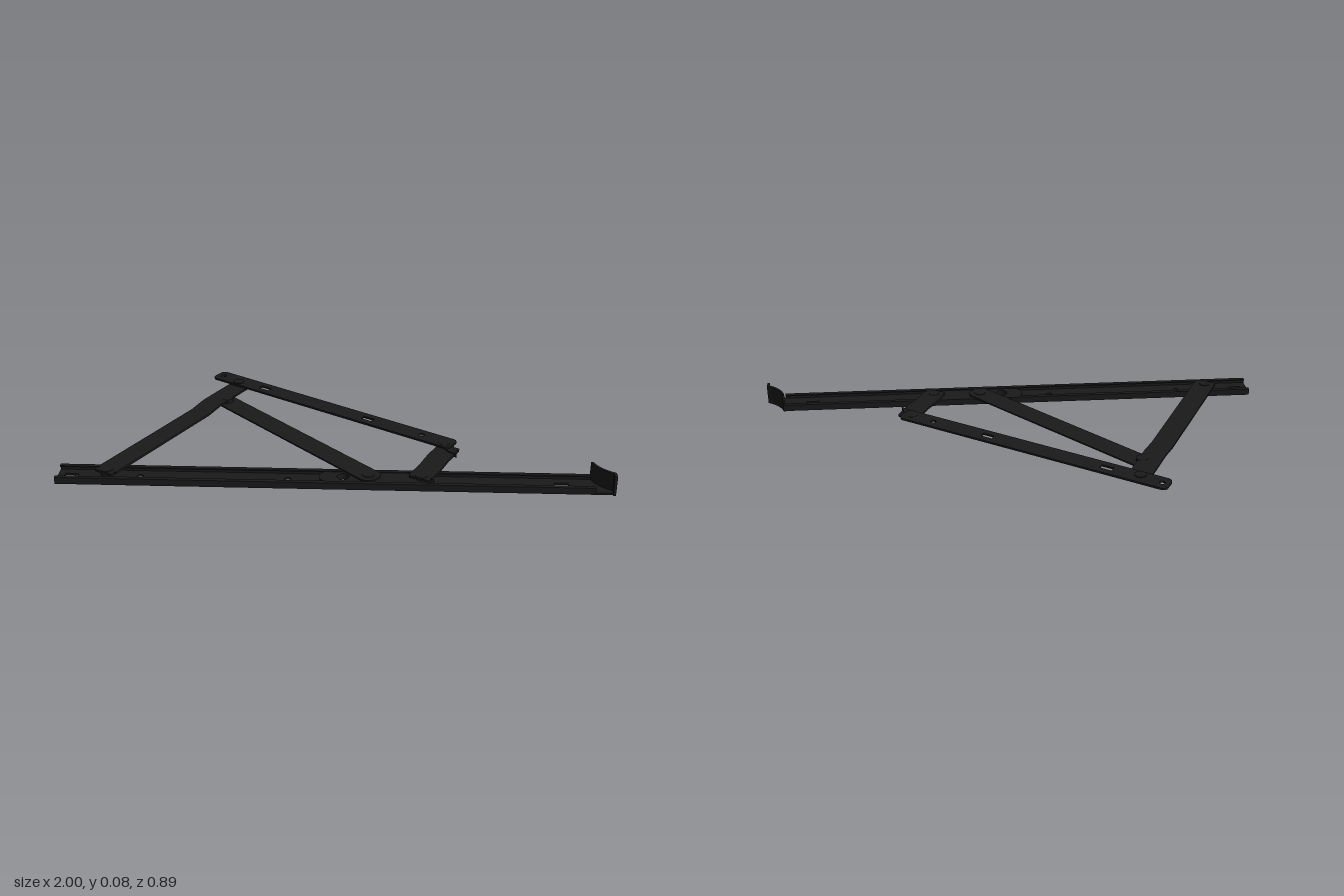
import * as THREE from 'three';

const material = new THREE.MeshStandardMaterial({ color: 0x1a1a1a, side: THREE.DoubleSide });

function add(parent, name, geometry) {
  const mesh = new THREE.Mesh(geometry, material);
  mesh.name = name;
  parent.add(mesh);
  return mesh;
}

// Horizontal plate from an outline drawn in (x, z), between two heights
function plate(shape, y0, y1) {
  const g = new THREE.ExtrudeGeometry(shape, { depth: y1 - y0, bevelEnabled: false, curveSegments: 10 });
  return g.rotateX(Math.PI / 2).translate(0, y1, 0);
}

function roundHole(shape, x, z, r) {
  shape.holes.push(new THREE.Path().absarc(x, z, r, 0, Math.PI * 2, true));
}

function slotHole(shape, x, z, length, width) {
  const a = length / 2, b = width / 2;
  shape.holes.push(new THREE.Path([[-a, -b], [-a, b], [a, b], [a, -b]].map(([u, v]) => new THREE.Vector2(x + u, z + v))));
}

// Outline with rounded corners, starting at u0 and ending at u1
function roundedStrip(u0, u1, width, r) {
  const h = width / 2, s = new THREE.Shape();
  s.moveTo(u0 + r, -h).lineTo(u1 - r, -h);
  s.absarc(u1 - r, -h + r, r, -Math.PI / 2, 0, false);
  s.absarc(u1 - r, h - r, r, 0, Math.PI / 2, false);
  s.absarc(u0 + r, h - r, r, Math.PI / 2, Math.PI, false);
  s.absarc(u0 + r, -h + r, r, Math.PI, Math.PI * 1.5, false);
  return s;
}

// Group whose local x axis runs from one (x, z) point to another
function along(parent, name, from, to) {
  const g = new THREE.Group();
  g.name = name;
  g.position.set(from[0], 0, from[1]);
  g.rotation.y = -Math.atan2(to[1] - from[1], to[0] - from[0]);
  g.userData.length = Math.hypot(to[0] - from[0], to[1] - from[1]);
  parent.add(g);
  return g;
}

// Strap cranked upward between two distances along its length
function crankedArm(parent, name, from, to, width, rampStart, rampEnd, yLow, yHigh, t) {
  const g = along(parent, name, from, to), L = g.userData.length;
  const line = [[0, yLow], [rampStart, yLow], [rampEnd, yHigh], [L, yHigh]];
  const pts = [...line, ...line.slice().reverse().map(([u, y]) => [u, y + t])];
  const side = new THREE.Shape(pts.map(([u, y]) => new THREE.Vector2(u, y)));
  add(g, name + 'Strap', new THREE.ExtrudeGeometry(side, { depth: width, bevelEnabled: false }).translate(0, 0, -width / 2));
  // Rounded tips
  [[-0.022, 0, yLow], [L, L + 0.022, yHigh]].forEach(([a, b, y]) =>
    add(g, name + 'Tip', plate(roundedStrip(a, b, width, 0.01), y, y + t)));
  return g;
}

function rivet(parent, x, z, y0, y1, r = 0.022) {
  add(parent, 'rivet', new THREE.CylinderGeometry(r, r, y1 - y0, 20).translate(x, (y0 + y1) / 2, z));
}

export function createModel() {
  const model = new THREE.Group();
  model.name = 'windowStay';

  // Track: perforated floor, side walls and inward lips
  const track = new THREE.Group();
  track.name = 'track';
  model.add(track);
  const floor = new THREE.Shape();
  floor.moveTo(-1, 0.335).lineTo(0.93, 0.335);
  floor.quadraticCurveTo(0.945, 0.385, 1, 0.415);
  floor.lineTo(1, 0.44).lineTo(-1, 0.44);
  [[-0.7, 0.012], [-0.165, 0.012], [0.035, 0.022]].forEach(([x, r]) => roundHole(floor, x, 0.385, r));
  [-0.95, 0.815].forEach(x => slotHole(floor, x, 0.385, 0.05, 0.022));
  add(track, 'trackFloor', plate(floor, 0.002, 0.01));
  [1, -1].forEach(s => {
    add(track, 'trackWall', new THREE.BoxGeometry(1.93, 0.026, 0.008).translate(-0.035, 0.015, 0.3875 + s * 0.0485));
    add(track, 'trackLip', new THREE.BoxGeometry(1.93, 0.005, 0.016).translate(-0.035, 0.0255, 0.3875 + s * 0.0445));
  });

  // Curved upright stop at the end of the track
  const stop = new THREE.Shape();
  stop.moveTo(0.93, 0.335);
  stop.quadraticCurveTo(0.945, 0.385, 1, 0.415);
  stop.lineTo(1, 0.443).lineTo(0.99, 0.443).lineTo(0.99, 0.421);
  stop.quadraticCurveTo(0.935, 0.39, 0.922, 0.335);
  add(model, 'endStop', plate(stop, 0, 0.078));

  // Sliding shoe inside the track
  const shoe = roundedStrip(-0.05, 0.36, 0.072, 0.03);
  roundHole(shoe, 0.035, 0, 0.022);
  add(model, 'slidingShoe', plate(shoe, 0.01, 0.025).translate(0, 0, 0.385));

  // Arms
  crankedArm(model, 'longArm', [-0.82, 0.385], [-0.42, -0.345], 0.085, 0.56, 0.64, 0.028, 0.038, 0.008);
  crankedArm(model, 'shortArm', [0.315, 0.385], [0.415, 0.19], 0.085, 0.07, 0.14, 0.028, 0.037, 0.008);
  const strut = along(model, 'diagonalStrut', [-0.455, -0.215], [0.125, 0.38]);
  add(strut, 'strutStrap', plate(roundedStrip(-0.04, strut.userData.length + 0.04, 0.085, 0.035), 0.026, 0.032));

  // Upper bar with fixing holes
  const bar = along(model, 'upperBar', [-0.51, -0.42], [0.425, 0.17]);
  const L = bar.userData.length;
  const strip = roundedStrip(-0.012, L + 0.015, 0.075, 0.02);
  [0.018, 0.983].forEach(u => roundHole(strip, u, 0, 0.011));
  [0.237, 0.739].forEach(u => slotHole(strip, u, 0, 0.048, 0.022));
  add(bar, 'upperBarStrap', plate(strip, 0.049, 0.057));

  // Pointed catch below the end of the bar
  const hook = new THREE.Shape([[0.385, 0.16], [0.44, 0.175], [0.438, 0.205], [0.447, 0.248], [0.415, 0.215]]
    .map(([x, z]) => new THREE.Vector2(x, z)));
  add(model, 'catch', plate(hook, 0.037, 0.05));

  // Pivots
  rivet(model, -0.82, 0.385, 0.01, 0.038);
  rivet(model, 0.315, 0.385, 0.01, 0.037);
  rivet(model, 0.125, 0.38, 0.01, 0.034);
  rivet(model, -0.455, -0.215, 0.027, 0.047);
  rivet(model, -0.425, -0.352, 0.038, 0.06);
  rivet(model, 0.405, 0.165, 0.037, 0.058);
  return model;
}
